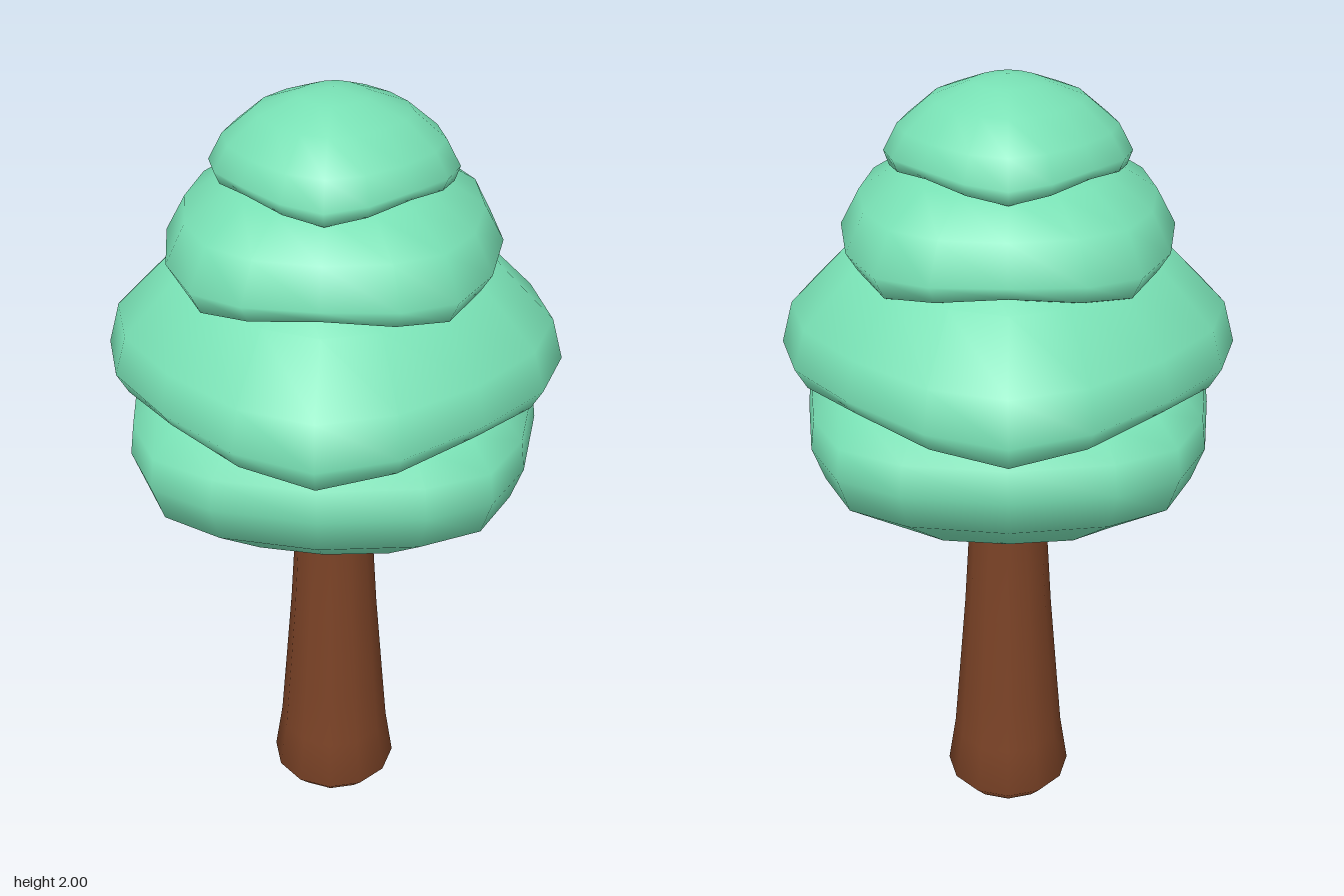
import * as THREE from 'three';
import { mergeVertices } from 'three/addons/utils/BufferGeometryUtils.js';

const leafMaterial = new THREE.MeshStandardMaterial({ color: 0x78e0b4 });
const barkMaterial = new THREE.MeshStandardMaterial({ color: 0x7a4226 });

// Turned shape with welded vertices, optionally reshaped by a rule, smooth shaded
function turned(profile, sides, reshape) {
  const points = profile.map(([r, y]) => new THREE.Vector2(r, y));
  let geometry = new THREE.LatheGeometry(points, sides);
  if (reshape) {
    const pos = geometry.attributes.position;
    for (let i = 0; i < pos.count; i++) {
      const x = pos.getX(i), z = pos.getZ(i);
      const p = reshape(Math.hypot(x, z), pos.getY(i), Math.atan2(z, x), profile[i % profile.length][2]);
      pos.setXYZ(i, p.r * Math.cos(p.angle), p.y, p.r * Math.sin(p.angle));
    }
  }
  geometry.deleteAttribute('uv');
  geometry.deleteAttribute('normal');
  geometry = mergeVertices(geometry, 1e-4);
  geometry.computeVertexNormals();
  return geometry;
}

function addMesh(parent, name, geometry, material) {
  const mesh = new THREE.Mesh(geometry, material);
  mesh.name = name;
  parent.add(mesh);
  return mesh;
}

// Leaf tiers, lowest first. Profile points are [radius, height, droop weight].
// bulge > 0 puts the four drooping corners on the axes, bulge < 0 on the diagonals.
const tiers = [
  { name: 'bottomLeafTier', bulge: -0.1, droop: 0.009, saddle: 0.0225, warp: 0.09,
    profile: [[0, 1.13, 0], [0.2, 1.09, 0], [0.28, 1.01, 0.7], [0.33, 0.989, 1], [0.485, 1.1, 0.2],
      [0.515, 1.19, 0], [0.505, 1.265, 0], [0.44, 1.33, 0], [0.25, 1.38, 0], [0, 1.4, 0]] },
  { name: 'lowerMiddleLeafTier', bulge: 0.035, droop: 0.021, saddle: 0, warp: -0.04,
    profile: [[0, 1.36, 0], [0.32, 1.335, 0.5], [0.43, 1.307, 1], [0.495, 1.315, 1], [0.522, 1.365, 0.5],
      [0.495, 1.46, 0.2], [0.37, 1.59, 0], [0.2, 1.66, 0], [0, 1.68, 0]] },
  { name: 'upperMiddleLeafTier', bulge: -0.03, droop: 0.02, saddle: 0, warp: 0.045,
    profile: [[0, 1.62, 0], [0.2, 1.6, 0.5], [0.31, 1.575, 1], [0.37, 1.6, 0.9], [0.397, 1.645, 0.4],
      [0.35, 1.735, 0.1], [0.25, 1.8, 0], [0.12, 1.84, 0], [0, 1.85, 0]] },
  { name: 'topLeafTier', bulge: 0.033, droop: 0.014, saddle: 0, warp: -0.04,
    profile: [[0, 1.82, 0], [0.13, 1.81, 0.6], [0.205, 1.795, 1], [0.26, 1.806, 1], [0.272, 1.835, 0.6],
      [0.24, 1.89, 0.1], [0.17, 1.95, 0], [0.08, 1.985, 0], [0, 2, 0]] },
];

export function createModel() {
  const tree = new THREE.Group();
  tree.name = 'tree';

  // Trunk with a rounded foot
  const trunkProfile = [[0, 0.005], [0.125, 0.02], [0.165, 0.065], [0.145, 0.2], [0.132, 0.36],
    [0.113, 0.6], [0.1, 0.82], [0.098, 0.95], [0.1, 1.15], [0, 1.18]];
  addMesh(tree, 'trunk', turned(trunkProfile, 12), barkMaterial);

  // A branch on each side, rising into the hollow of the lowest tier
  for (const side of [1, -1]) {
    const branch = new THREE.Group();
    branch.name = side > 0 ? 'leftBranch' : 'rightBranch';
    const tip = new THREE.Vector3(side * 0.235, 1.11, 0);
    const path = new THREE.CatmullRomCurve3([
      new THREE.Vector3(side * 0.01, 0.86, 0),
      new THREE.Vector3(side * 0.065, 0.98, 0),
      new THREE.Vector3(side * 0.14, 1.06, 0),
      tip,
    ]);
    addMesh(branch, 'branchLimb', new THREE.TubeGeometry(path, 10, 0.062, 10), barkMaterial);
    addMesh(branch, 'branchTip', new THREE.SphereGeometry(0.062, 10, 8), barkMaterial).position.copy(tip);
    tree.add(branch);
  }

  // Four overlapping leaf tiers with wavy rims
  const leaves = new THREE.Group();
  leaves.name = 'leaves';
  for (const { name, bulge, droop, saddle, warp, profile } of tiers) {
    const geometry = turned(profile, 16, (r, y, angle, weight) => ({
      r: r * (1 + bulge * Math.cos(4 * angle) * (bulge < -0.05 ? 0.53 : 1)),
      y: y + weight * (saddle * Math.cos(2 * angle) - Math.sign(bulge) * droop * Math.cos(4 * angle)),
      angle: angle + warp * Math.sin(4 * angle),
    }));
    addMesh(leaves, name, geometry, leafMaterial);
  }
  tree.add(leaves);
  return tree;
}
